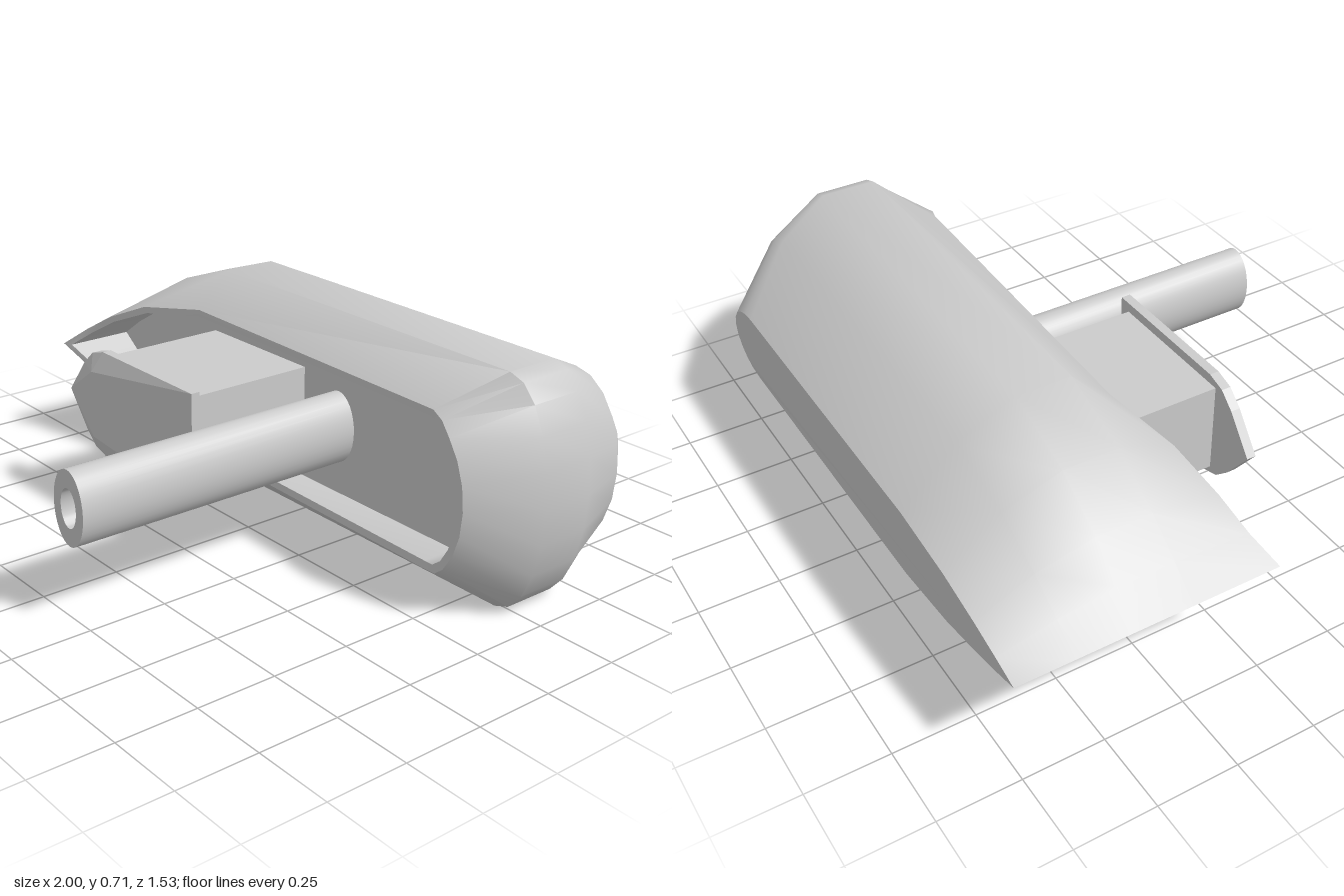
import * as THREE from 'three';
import { toCreasedNormals } from 'three/addons/utils/BufferGeometryUtils.js';
import { ConvexGeometry } from 'three/addons/geometries/ConvexGeometry.js';

const MID = 0.355; // height of the symmetry plane
const DECK = -0.2; // z of the recessed deck
const material = new THREE.MeshStandardMaterial({ color: 0xcccccc });

function addMesh(group, name, geometry) {
  const mesh = new THREE.Mesh(geometry, material);
  mesh.name = name;
  group.add(mesh);
  return mesh;
}

// Height of the gunwale along the hull
const SHEER = [[-1, 0.045], [-0.9, 0], [-0.4, -0.11], [0.7, -0.085], [0.81, -0.05], [0.88, -0.05]];
function sheer(x) {
  for (let i = 1; i < SHEER.length; i++) {
    const [x0, z0] = SHEER[i - 1], [x1, z1] = SHEER[i];
    if (x <= x1) return THREE.MathUtils.mapLinear(x, x0, x1, z0, z1);
  }
  return SHEER.at(-1)[1];
}

// Boat outline at one level: pointed bow, straight sides, elliptical stern
function ring({ half, start, end, z, bow = -1, full = 1.6 }) {
  const side = [];
  for (const s of [0.85, 0.67, 0.4, 0]) {
    side.push([-0.4 + (bow + 0.4) * s, half * (1 - s ** full)]);
  }
  for (let i = 0; i < 5; i++) {
    const a = (i / 5) * Math.PI / 2;
    side.push([start + (end - start) * Math.sin(a), half * Math.cos(a)]);
  }
  const points = [
    [bow, 0],
    ...side.map(([x, y]) => [x, -y]),
    [end, 0],
    ...side.slice().reverse(),
  ];
  return points.map(([x, y]) => [x, MID + y, z === undefined ? sheer(x) : z]);
}

function hullGeometry() {
  const rings = [
    { half: 0.11, start: 0.65, end: 0.81, z: -0.767 },  // flat bottom
    { half: 0.275, start: 0.77, end: 0.95, z: -0.59 },
    { half: 0.355, start: 0.84, end: 1, z: -0.41 },
    { half: 0.355, start: 0.84, end: 1, z: -0.235 },
    { half: 0.243, start: 0.71, end: 0.87, full: 2 },   // gunwale, outer edge
    { half: 0.22, start: 0.7, end: 0.85, bow: -0.97, full: 2 }, // gunwale, inner edge
    { half: 0.22, start: 0.7, end: 0.85, bow: -0.97, full: 2, z: DECK },
  ].map(ring);
  const n = rings[0].length;
  const pos = rings.flat(2);
  const index = [];
  for (let r = 0; r < rings.length - 1; r++) {
    for (let i = 0; i < n; i++) {
      const a = r * n + i, b = r * n + (i + 1) % n;
      index.push(a, b, b + n, a, b + n, a + n);
    }
  }
  // Bottom and deck caps
  const top = (rings.length - 1) * n;
  for (let i = 1; i < n - 1; i++) {
    index.push(0, i + 1, i);
    index.push(top, top + i, top + i + 1);
  }
  const g = new THREE.BufferGeometry();
  g.setAttribute('position', new THREE.Float32BufferAttribute(pos, 3));
  g.setIndex(index);
  return toCreasedNormals(g, 0.75);
}

// Plate with a pointed end and a slightly crowned face
function plateGeometry() {
  const half = [[-0.6, 0], [-0.51, 0.115], [-0.46, 0.16], [-0.4, 0.178], [0.07, 0.178]];
  const points = [];
  for (const sign of [-1, 1]) {
    for (const [x, y] of half) {
      for (const z of [0.235, 0.265]) points.push(new THREE.Vector3(x, MID + sign * y, z));
    }
    points.push(new THREE.Vector3(-0.43, MID + sign * 0.11, 0.292));
  }
  return new ConvexGeometry(points);
}

// Pipe with a bore, closed at its foot
function pipeGeometry() {
  const length = 0.767 - DECK;
  const profile = [[1, 0], [1, length], [0.52, length], [0.52, 0.02], [0, 0.02]];
  const g = new THREE.LatheGeometry(profile.map(([x, y]) => new THREE.Vector2(x, y)), 32);
  g.rotateX(Math.PI / 2);
  g.scale(0.074, 0.115, 1);
  return toCreasedNormals(g, 0.6);
}

export function createModel() {
  const group = new THREE.Group();
  group.name = 'boat';

  addMesh(group, 'hull', hullGeometry());

  const depth = 0.24 - DECK;
  const cabin = addMesh(group, 'cabin', new THREE.BoxGeometry(0.46, 0.295, depth));
  cabin.position.set(-0.2, MID, DECK + depth / 2);

  addMesh(group, 'cabinRoof', plateGeometry());

  const funnel = addMesh(group, 'funnel', pipeGeometry());
  funnel.position.set(0.19, MID, DECK);

  return group;
}
